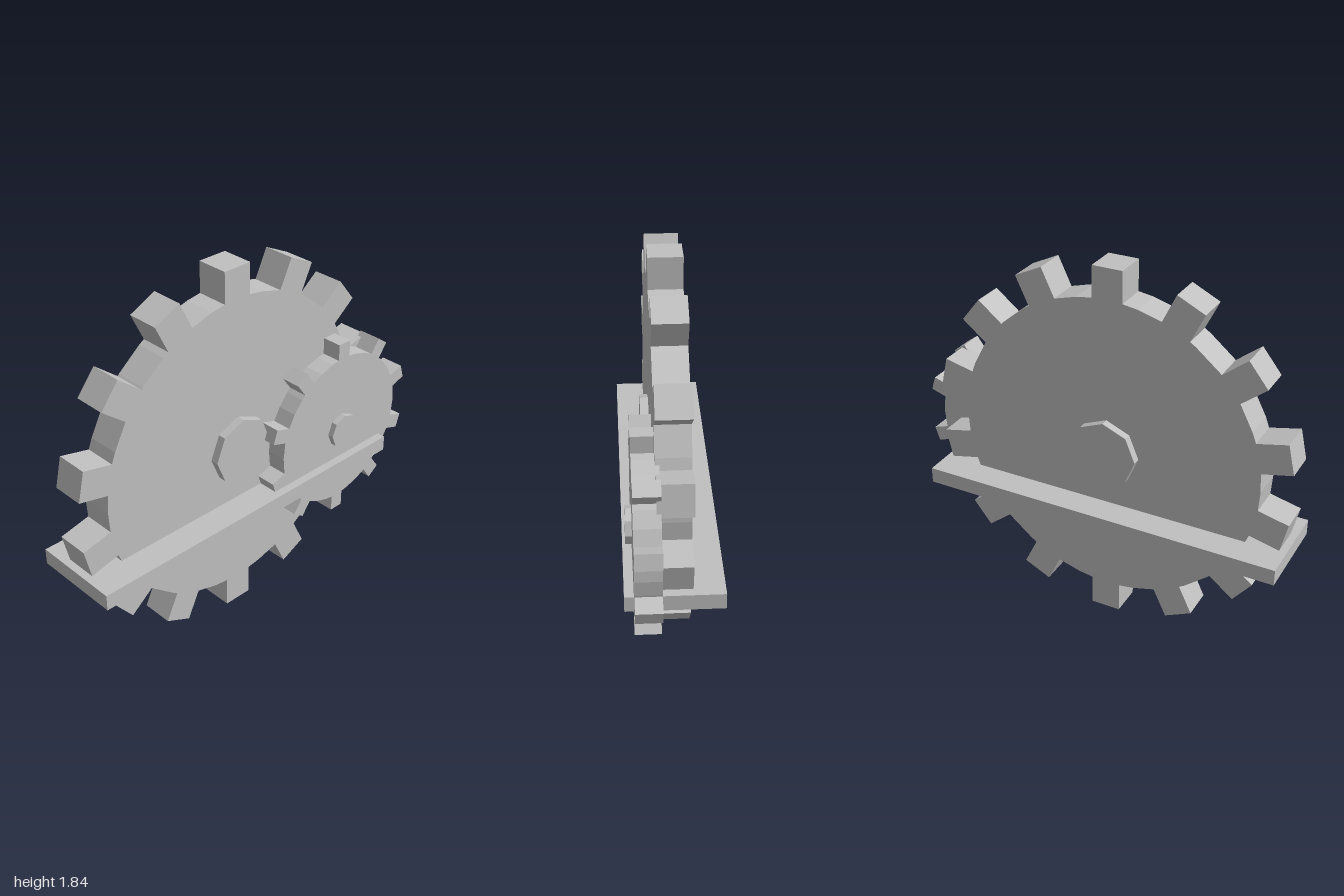
import * as THREE from 'three';

const metal = new THREE.MeshStandardMaterial({ color: 0xc0c0c0, flatShading: true });
metal.name = 'plainGrey';

// Gear outline: straight-sided teeth joined by the facets of a 32-sided disc
function gearShape(teeth, rootR, outerR, toothWidth) {
  const points = [];
  const half = toothWidth / 2;
  const baseAngle = Math.asin(half / rootR);
  const step = (Math.PI * 2) / teeth;
  const facet = (Math.PI * 2) / 32;
  const polar = (a) => new THREE.Vector2(Math.cos(a) * rootR, Math.sin(a) * rootR);
  for (let i = 0; i < teeth; i++) {
    const a = Math.PI / 2 + i * step;
    const tip = (side) => new THREE.Vector2(outerR, side * half).rotateAround(new THREE.Vector2(), a);
    points.push(polar(a - baseAngle), tip(-1), tip(1), polar(a + baseAngle));
    // disc corners in the gap before the next tooth
    const gapEnd = a + step - baseAngle - 0.01;
    for (let k = Math.ceil((a + baseAngle + 0.01) / facet); k * facet < gapEnd; k++) {
      points.push(polar(k * facet));
    }
  }
  return new THREE.Shape(points);
}

// Gear lying in the yz plane, from x0 to x1
function gear(name, teeth, rootR, outerR, toothWidth, x0, x1, y, z) {
  const geometry = new THREE.ExtrudeGeometry(gearShape(teeth, rootR, outerR, toothWidth), {
    depth: x1 - x0, bevelEnabled: false,
  });
  geometry.rotateY(Math.PI / 2);
  const mesh = new THREE.Mesh(geometry, metal);
  mesh.name = name;
  mesh.position.set(x0, y, z);
  return mesh;
}

// Eight-sided axle along x
function hub(name, radius, x0, x1, y, z) {
  const geometry = new THREE.CylinderGeometry(radius, radius, x1 - x0, 8);
  geometry.rotateZ(Math.PI / 2);
  const mesh = new THREE.Mesh(geometry, metal);
  mesh.name = name;
  mesh.position.set((x0 + x1) / 2, y, z);
  return mesh;
}

export function createModel() {
  const model = new THREE.Group();
  model.name = 'gearPair';

  model.add(
    gear('largeGear', 14, 0.77, 0.92, 0.15, -0.08, 0.08, 0.922, 0.086),
    hub('largeHub', 0.167, -0.12, 0.12, 0.922, 0.086),
    gear('smallGear', 10, 0.403, 0.485, 0.075, 0.06, 0.18, 0.802, -0.526),
    hub('smallHub', 0.088, 0.07, 0.21, 0.802, -0.526),
  );

  // Flat shelf crossing both gears
  const shelf = new THREE.Mesh(new THREE.BoxGeometry(0.446, 0.08, 1.83), metal);
  shelf.name = 'shelf';
  shelf.position.set(0, 0.598, 0.085);
  model.add(shelf);

  return model;
}
